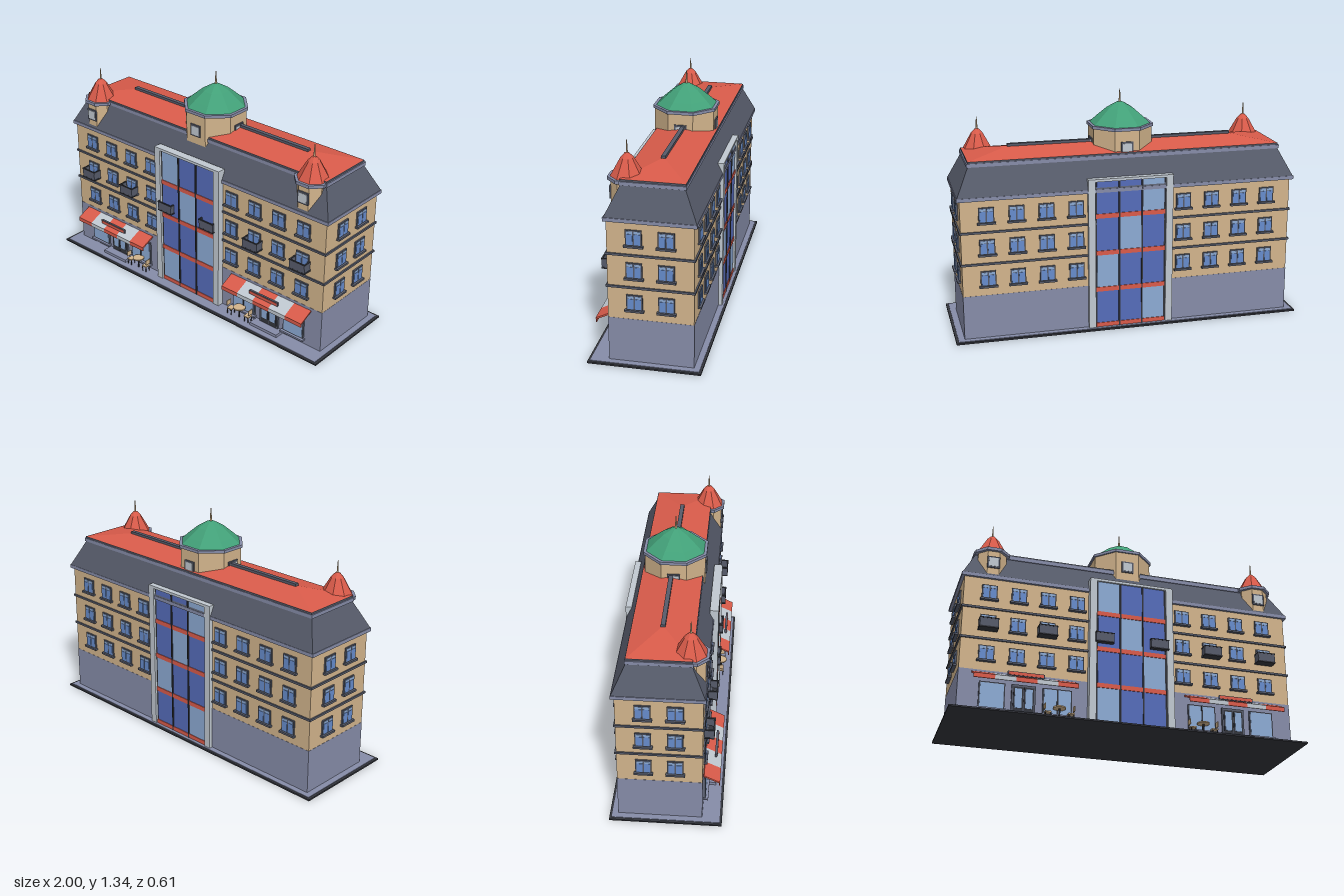
import * as THREE from 'three';

const mat = (name, color) => {
  const m = new THREE.MeshStandardMaterial({ color });
  m.name = name;
  return m;
};
const M = {
  sand: mat('sand wall', 0xd2b48c),
  slate: mat('slate blue stone', 0x868ca8),
  grey: mat('dark roof grey', 0x565b6a),
  red: mat('red roof', 0xd95b4a),
  green: mat('green dome', 0x42a078),
  dark: mat('near black', 0x33353c),
  pale: mat('pale grey', 0xc0c8d0),
  deep: mat('deep blue glass', 0x556cba),
  light: mat('light blue glass', 0x8caad4),
  blue: mat('window glass', 0x668ccc),
};

function add(parent, name, geo, material, x = 0, y = 0, z = 0) {
  const m = new THREE.Mesh(geo, material);
  m.name = name;
  m.position.set(x, y, z);
  parent.add(m);
  return m;
}

// Box given by its centre and size
const box = (p, name, material, x, y, z, w, h, d) =>
  add(p, name, new THREE.BoxGeometry(w, h, d), material, x, y, z);

// Box given by its limits
const span = (p, name, material, x0, x1, y0, y1, z0, z1) =>
  box(p, name, material, (x0 + x1) / 2, (y0 + y1) / 2, (z0 + z1) / 2, x1 - x0, y1 - y0, z1 - z0);

// Rectangular block with a smaller top
function frustum(p, name, material, y0, y1, z, bottom, top) {
  const g = new THREE.BoxGeometry(1, 1, 1);
  const a = g.attributes.position;
  for (let i = 0; i < a.count; i++) {
    const up = a.getY(i) > 0;
    const s = up ? top : bottom;
    a.setXYZ(i, a.getX(i) * s[0], up ? y1 : y0, a.getZ(i) * s[1]);
  }
  const flat = g.toNonIndexed();
  flat.computeVertexNormals();
  return add(p, name, flat, material, 0, 0, z);
}

// Eight-sided solid through rings of [apothem, y], with a flat face to the front
function octagon(p, name, material, rings) {
  const pts = rings.map(([a, y]) => new THREE.Vector2(a / Math.cos(Math.PI / 8), y));
  const g = new THREE.LatheGeometry(pts, 8).rotateY(Math.PI / 8).toNonIndexed();
  g.computeVertexNormals();
  return add(p, name, g, material);
}

// Two-pane window with sill, facing +z
function makeWindow(p, x, y, z, turn = 0) {
  const w = new THREE.Group();
  w.name = 'window';
  box(w, 'windowFrame', M.grey, 0, 0, 0, 0.086, 0.086, 0.014);
  for (const s of [-1, 1]) {
    box(w, 'windowPane', M.blue, s * 0.02, -0.008, 0.006, 0.032, 0.058, 0.006);
    box(w, 'transomPane', M.light, s * 0.02, 0.03, 0.006, 0.032, 0.014, 0.006);
  }
  box(w, 'windowSill', M.grey, 0, -0.046, 0.006, 0.102, 0.011, 0.026);
  w.position.set(x, y, z);
  w.rotation.y = turn;
  p.add(w);
}

function makeBalcony(p, x) {
  const b = new THREE.Group();
  b.name = 'balcony';
  box(b, 'balconyFloor', M.dark, 0, -0.025, 0, 0.107, 0.008, 0.054);
  box(b, 'balconyFront', M.grey, 0, 0, 0.024, 0.1, 0.05, 0.005);
  box(b, 'balconyRail', M.dark, 0, 0.027, 0.024, 0.107, 0.006, 0.008);
  for (const s of [-1, 1]) {
    box(b, 'balconySide', M.grey, s * 0.049, 0, 0, 0.005, 0.05, 0.05);
    box(b, 'sideRail', M.dark, s * 0.049, 0.027, 0, 0.008, 0.006, 0.05);
  }
  b.position.set(x, 0.52, 0.224);
  p.add(b);
}

// Small square window on a tower face
function towerWindow(p, y, dist, size, turn) {
  const w = new THREE.Group();
  w.name = 'towerWindow';
  box(w, 'towerWindowFrame', M.grey, 0, y, dist, size, size, 0.014);
  box(w, 'towerWindowPane', M.pale, 0, y, dist + 0.006, size * 0.75, size * 0.75, 0.006);
  w.rotation.y = turn;
  p.add(w);
}

// Corner turret or central tower
function makeTower(p, name, x, z) {
  const t = new THREE.Group();
  t.name = name;
  t.position.set(x, 0, z);
  p.add(t);
  return t;
}

function makeTurret(p, x) {
  const t = makeTower(p, 'cornerTurret', x, 0.12);
  octagon(t, 'turretBody', M.sand, [[0.08, 0.835], [0.08, 0.985]]);
  octagon(t, 'turretEave', M.slate, [[0, 0.982], [0.096, 0.982], [0.096, 1], [0, 1]]);
  octagon(t, 'turretRoof', M.red, [[0.082, 1], [0.032, 1.095], [0.012, 1.118], [0, 1.122]]);
  add(t, 'turretFinial', new THREE.CylinderGeometry(0.002, 0.006, 0.075, 8), M.sand, 0, 1.15, 0);
  towerWindow(t, 0.912, 0.08, 0.07, 0);
}

// Shop front with awning, step and a table; inner is the sign of x towards the middle
function makeShop(p, cx) {
  const s = new THREE.Group();
  s.name = 'shopFront';
  s.position.x = cx;
  const inner = cx < 0 ? 1 : -1;
  const z = 0.2;
  for (const [x, w] of [[-inner * 0.17, 0.14], [inner * 0.185, 0.16]]) {
    box(s, 'shopWindowFrame', M.grey, x, 0.12, z, w, 0.15, 0.014);
    box(s, 'shopWindowGlass', M.light, x, 0.12, z + 0.006, w - 0.014, 0.136, 0.006);
    box(s, 'shopSill', M.slate, x, 0.042, z + 0.008, w + 0.015, 0.01, 0.03);
  }
  box(s, 'shopMullion', M.dark, inner * 0.185, 0.12, z + 0.008, 0.008, 0.14, 0.008);
  // Door
  box(s, 'doorFrame', M.grey, 0, 0.113, z, 0.13, 0.166, 0.016);
  for (const k of [-1, 1]) {
    box(s, 'doorLeaf', M.dark, k * 0.029, 0.108, z + 0.007, 0.054, 0.15, 0.008);
    box(s, 'doorGlass', M.light, k * 0.029, 0.118, z + 0.01, 0.038, 0.11, 0.006);
  }
  span(s, 'doorStep', M.slate, -0.095, 0.095, 0.01, 0.03, 0.19, 0.258);
  // Striped awning
  for (let i = 0; i < 5; i++) {
    const m = i % 2 ? M.pale : M.red;
    const x = (i - 2) * 0.113;
    box(s, 'awningStripe', m, x, 0.224, 0.242, 0.113, 0.009, 0.096).rotation.x = 0.45;
    box(s, 'awningValance', m, x, 0.193, 0.283, 0.113, 0.022, 0.005);
  }
  box(s, 'signFrame', M.grey, 0, 0.235, 0.256, 0.2, 0.024, 0.012);
  box(s, 'signPlate', M.red, 0, 0.235, 0.261, 0.19, 0.016, 0.006);
  // Table and two chairs
  const f = new THREE.Group();
  f.name = 'cafeSet';
  add(f, 'tableTop', new THREE.CylinderGeometry(0.035, 0.035, 0.007, 12), M.sand, 0, 0.077, 0);
  add(f, 'tableLeg', new THREE.CylinderGeometry(0.005, 0.005, 0.065, 8), M.dark, 0, 0.042, 0);
  for (const k of [-1, 1]) {
    box(f, 'chairSeat', M.sand, k * 0.063, 0.047, 0, 0.034, 0.007, 0.034);
    box(f, 'chairBack', M.sand, k * 0.08, 0.078, 0, 0.005, 0.03, 0.034);
    for (const a of [-1, 1]) for (const b of [-1, 1])
      box(f, 'chairLeg', M.dark, k * 0.063 + a * 0.014, 0.028, b * 0.014, 0.004, 0.036, 0.004);
  }
  f.position.set(inner * 0.19, 0, 0.237);
  s.add(f);
  p.add(s);
}

// Glazed centre bay on one face; dir is +1 for the front, -1 for the back
function makeGlassBay(p, face, depth, dir) {
  const b = new THREE.Group();
  b.name = 'glassBay';
  const put = (name, m, x0, x1, y0, y1, out, d) =>
    box(b, name, m, (x0 + x1) / 2, (y0 + y1) / 2, face + dir * (out - d / 2), x1 - x0, y1 - y0, d);
  put('bayCore', M.dark, -0.205, 0.205, 0.01, 0.875, 0, depth);
  for (let r = 0; r < 4; r++) {
    const y = 0.01 + r * 0.2165;
    put('bayBand', M.red, -0.2, 0.2, y, y + 0.026, 0.007, 0.01);
    for (let c = 0; c < 3; c++) {
      const x = -0.198 + c * 0.132;
      put('bayPane', c === [0, 2, 1, 0][r] ? M.light : M.deep,
        x + 0.004, x + 0.128, y + 0.026, y + 0.2165, 0.003, 0.006);
    }
  }
  for (const x of [-0.066, 0.066]) put('bayMullion', M.dark, x - 0.004, x + 0.004, 0.01, 0.875, 0.009, 0.012);
  for (const s of [-1, 1]) {
    const x = s * 0.224;
    put('bayPillar', M.pale, x - 0.02, x + 0.02, 0.01, 0.885, 0.014, depth + 0.014);
  }
  put('bayLintel', M.pale, -0.244, 0.244, 0.872, 0.887, 0.014, depth + 0.014);
  p.add(b);
}

export function createModel() {
  const g = new THREE.Group();
  g.name = 'building';

  // Ground slab and walls
  span(g, 'groundSlab', M.dark, -1, 1, 0, 0.009, -0.305, 0.305);
  span(g, 'paving', M.slate, -0.985, 0.985, 0.008, 0.012, -0.292, 0.292);
  span(g, 'groundFloor', M.slate, -0.95, 0.95, 0.01, 0.262, -0.26, 0.197);
  span(g, 'upperFloors', M.sand, -0.949, 0.949, 0.262, 0.812, -0.259, 0.196);
  for (const y of [0.445, 0.627])
    span(g, 'floorBand', M.grey, -0.957, 0.957, y - 0.006, y + 0.006, -0.267, 0.204);
  span(g, 'cornice', M.slate, -0.966, 0.966, 0.808, 0.828, -0.276, 0.21);

  // Mansard and hipped roof
  frustum(g, 'mansardRoof', M.grey, 0.828, 0.985, -0.034, [1.925, 0.48], [1.775, 0.33]);
  span(g, 'upperCornice', M.slate, -0.897, 0.897, 0.98, 1, -0.207, 0.139);
  span(g, 'roofEdge', M.grey, -0.89, 0.89, 1, 1.01, -0.204, 0.136);
  frustum(g, 'hippedRoof', M.red, 1.01, 1.047, -0.034, [1.775, 0.335], [1.3, 0.012]);
  span(g, 'roofRidge', M.grey, -0.65, 0.65, 1.04, 1.06, -0.046, -0.022);

  // Windows on all sides
  for (let r = 0; r < 3; r++) {
    const y = 0.361 + r * 0.182;
    for (const s of [-1, 1]) {
      for (const x of [0.31, 0.476, 0.641, 0.807]) {
        makeWindow(g, s * x, y, 0.197, 0);
        makeWindow(g, s * x, y, -0.26, Math.PI);
      }
      for (const z of [0.053, -0.116]) makeWindow(g, s * 0.95, y, z, s * Math.PI / 2);
    }
  }

  makeGlassBay(g, 0.221, 0.035, 1);
  makeGlassBay(g, -0.267, 0.02, -1);

  for (const s of [-1, 1]) {
    makeShop(g, s * 0.597);
    makeTurret(g, s * 0.795);
    for (const x of [0.16, 0.48, 0.807]) makeBalcony(g, s * x);
  }

  // Central domed tower
  const t = makeTower(g, 'centralTower', 0, -0.02);
  octagon(t, 'towerDrum', M.sand, [[0.168, 0.89], [0.168, 1.13]]);
  octagon(t, 'towerEave', M.slate, [[0, 1.127], [0.176, 1.127], [0.176, 1.144], [0, 1.144]]);
  octagon(t, 'dome', M.green, [[0.16, 1.144], [0.125, 1.178], [0.07, 1.228], [0.02, 1.259], [0, 1.264]]);
  add(t, 'domeFinial', new THREE.CylinderGeometry(0.002, 0.007, 0.08, 8), M.sand, 0, 1.295, 0);
  for (let i = 0; i < 4; i++) towerWindow(t, 1.032, 0.168, 0.07, i * Math.PI / 2);
  return g;
}
